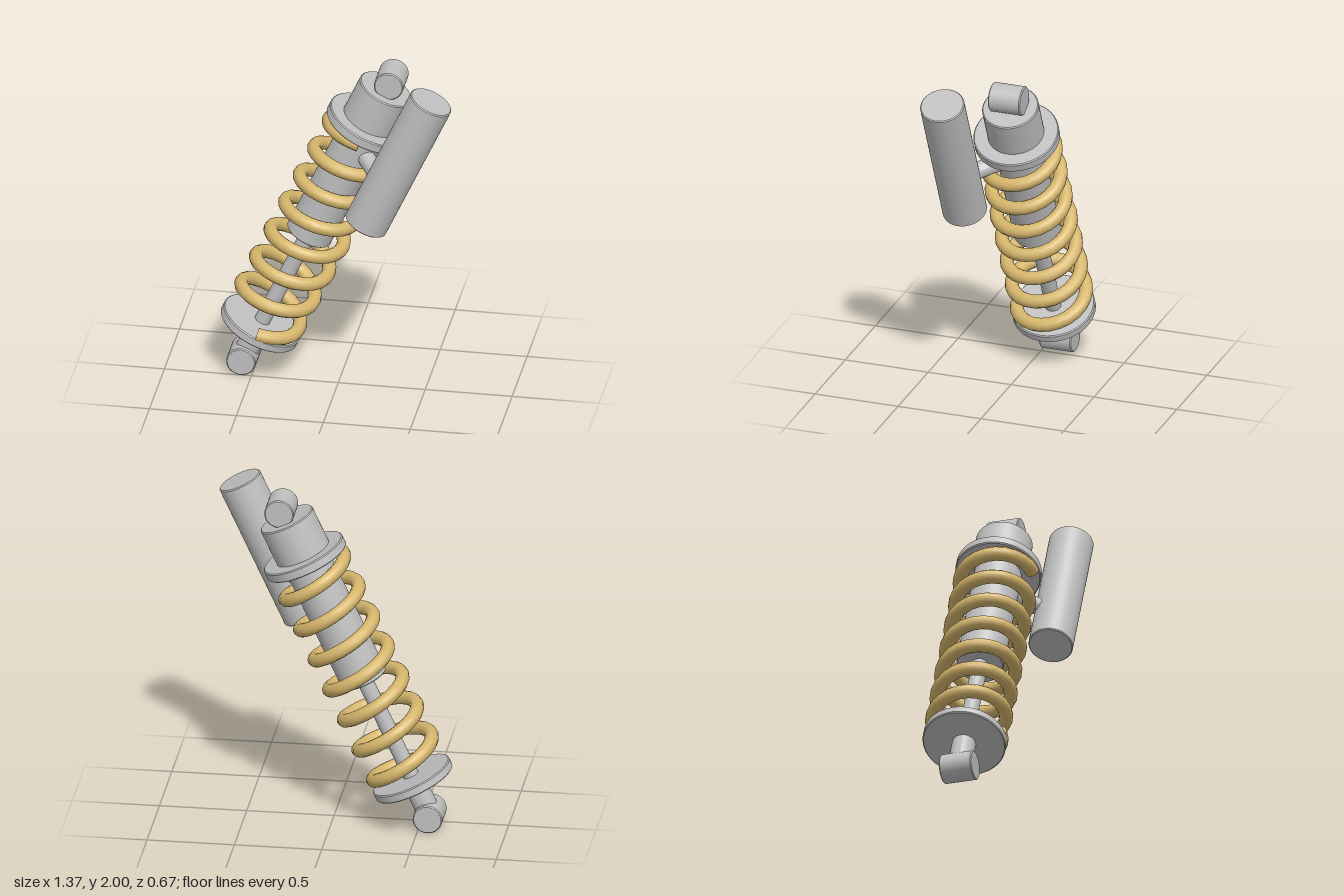
import * as THREE from 'three';
import { toCreasedNormals } from 'three/addons/utils/BufferGeometryUtils.js';

// Solid cylinder along y from y0 to y1 with a small chamfer on both rims
function rod(radius, y0, y1, bevel = 0.006) {
  const profile = [
    [0, y0], [radius - bevel, y0], [radius, y0 + bevel],
    [radius, y1 - bevel], [radius - bevel, y1], [0, y1],
  ].map(([x, y]) => new THREE.Vector2(x, y));
  return toCreasedNormals(new THREE.LatheGeometry(profile, 48), 0.6);
}

// Helix that starts and ends at the front
class Helix extends THREE.Curve {
  constructor(radius, y0, y1, turns) {
    super();
    Object.assign(this, { radius, y0, y1, turns });
  }
  getPoint(t, target = new THREE.Vector3()) {
    const a = t * this.turns * Math.PI * 2;
    return target.set(
      this.radius * Math.sin(a),
      this.y0 + (this.y1 - this.y0) * t,
      this.radius * Math.cos(a),
    );
  }
}

export function createModel() {
  const metal = new THREE.MeshStandardMaterial({ color: 0xbfbfbf });
  metal.name = 'grey metal';
  const gold = new THREE.MeshStandardMaterial({ color: 0xd6b66c });
  gold.name = 'gold spring';

  // Everything is built upright around the lower eye, then leaned over
  const damper = new THREE.Group();
  damper.name = 'damper';
  damper.position.set(-0.56, 0.085, -0.09);
  damper.rotation.z = -0.4346;

  const add = (name, geometry, material = metal) => {
    const mesh = new THREE.Mesh(geometry, material);
    mesh.name = name;
    damper.add(mesh);
    return mesh;
  };

  // Mounting eyes, lying along z
  for (const [name, y] of [['lowerEye', 0], ['upperEye', 2.018]]) {
    const eye = add(name, rod(0.084, -0.096, 0.096));
    eye.rotation.x = Math.PI / 2;
    eye.position.y = y;
  }

  // Central stack
  add('lowerStem', rod(0.068, 0, 0.22));
  add('lowerSpringPlate', rod(0.238, 0.204, 0.256));
  add('pistonRod', rod(0.046, 0.2, 0.95));
  add('damperBody', rod(0.136, 0.89, 1.7));
  add('upperSpringPlate', rod(0.245, 1.667, 1.725));
  add('topCap', rod(0.162, 1.7, 1.949));

  // Coil spring with closed ends
  const helix = new Helix(0.206, 0.266, 1.658, 7);
  const wire = 0.04;
  add('coilSpring', new THREE.TubeGeometry(helix, 7 * 24, wire, 12), gold);
  for (const [t, dir] of [[0, -1], [1, 1]]) {
    const cap = add('springEnd', new THREE.CircleGeometry(wire, 12), gold);
    cap.position.copy(helix.getPoint(t));
    cap.quaternion.setFromUnitVectors(
      new THREE.Vector3(0, 0, 1),
      helix.getTangent(t).multiplyScalar(dir),
    );
  }

  // Side reservoir and the pipe joining it to the body
  const reservoir = add('reservoir', rod(0.127, 1.269, 2.166));
  reservoir.position.set(0.241, 0, 0.298);
  const reach = new THREE.Vector3(0.241, 0, 0.298);
  const pipe = add('connectorPipe', rod(0.05, 0, reach.length()));
  pipe.position.y = 1.545;
  pipe.quaternion.setFromUnitVectors(new THREE.Vector3(0, 1, 0), reach.clone().normalize());

  const model = new THREE.Group();
  model.name = 'shockAbsorber';
  model.add(damper);
  return model;
}
